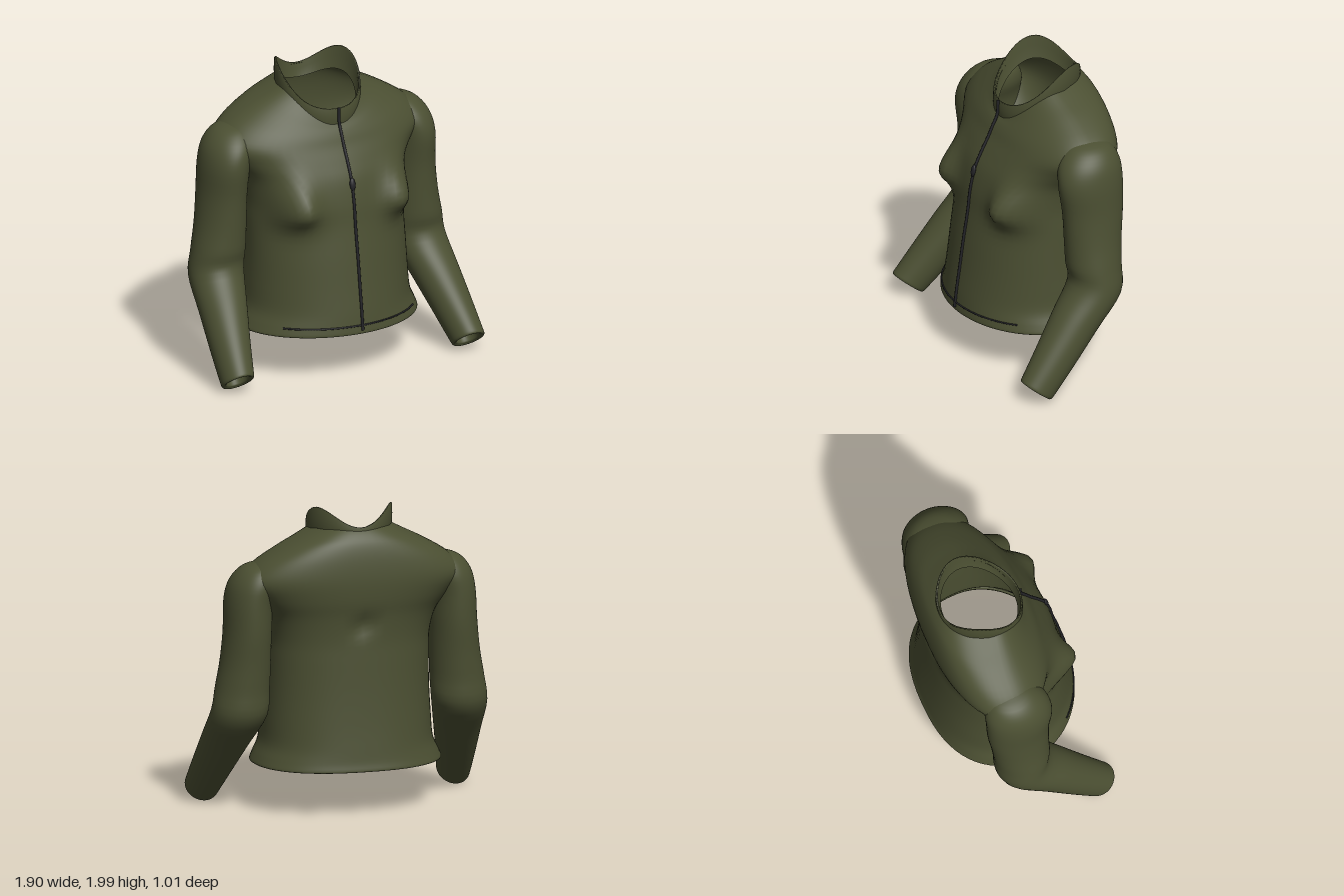
import * as THREE from 'three';

const SEG = 64;

// Smoothly resample rows of section parameters (Catmull-Rom per column)
function resample(rows, n) {
  const out = [], last = rows.length - 1;
  for (let i = 0; i < last; i++) {
    const [a, b, c, d] = [i - 1, i, i + 1, i + 2].map((k) => rows[Math.min(last, Math.max(0, k))]);
    for (let k = 0; k < n; k++) {
      const t = k / n;
      out.push(b.map((v, j) => v + 0.5 * t * (c[j] - a[j] +
        t * (2 * a[j] - 5 * v + 4 * c[j] - d[j] + t * (3 * (v - c[j]) + d[j] - a[j])))));
    }
  }
  out.push(rows[last]);
  return out;
}

// Skin closed sections, ordered bottom to top
function loft(rows, point) {
  const pos = [], idx = [];
  rows.forEach((row, i) => {
    for (let j = 0; j < SEG; j++) {
      pos.push(...point(row, (j / SEG) * Math.PI * 2));
      if (i === 0) continue;
      const n = (j + 1) % SEG, a = (i - 1) * SEG + j, b = (i - 1) * SEG + n;
      idx.push(a, a + SEG, b, b, a + SEG, b + SEG);
    }
  });
  const g = new THREE.BufferGeometry();
  g.setAttribute('position', new THREE.Float32BufferAttribute(pos, 3));
  g.setIndex(idx);
  g.computeVertexNormals();
  return g;
}

const spow = (v, e) => Math.sign(v) * Math.abs(v) ** e;
const bell = (d, s) => Math.exp(-((d / s) ** 2));

// Torso sections: side y, front y, back y, half width, front z, back z, middle z
const TORSO = [
  [0.36, 0.36, 0.36, 0.585, 0.475, -0.47, 0],
  [0.31, 0.31, 0.31, 0.600, 0.485, -0.485, 0],
  [0.31, 0.31, 0.31, 0.620, 0.500, -0.50, 0],
  [0.36, 0.36, 0.36, 0.600, 0.495, -0.49, 0],
  [0.45, 0.45, 0.45, 0.562, 0.485, -0.48, 0],
  [0.60, 0.60, 0.60, 0.550, 0.463, -0.465, 0],
  [0.80, 0.80, 0.80, 0.540, 0.435, -0.45, 0],
  [1.00, 1.00, 1.00, 0.535, 0.403, -0.44, -0.02],
  [1.15, 1.15, 1.15, 0.535, 0.385, -0.435, -0.05],
  [1.30, 1.30, 1.30, 0.570, 0.350, -0.445, -0.09],
  [1.42, 1.41, 1.42, 0.660, 0.300, -0.465, -0.11],
  [1.53, 1.50, 1.55, 0.735, 0.252, -0.472, -0.13],
  [1.64, 1.56, 1.68, 0.655, 0.225, -0.460, -0.14],
  [1.74, 1.60, 1.78, 0.500, 0.203, -0.435, -0.14],
  [1.81, 1.63, 1.84, 0.360, 0.180, -0.400, -0.12],
  [1.86, 1.66, 1.88, 0.262, 0.162, -0.362, -0.10],
];

function torsoPoint([ys, yf, yb, w, zf, zb, zc], t) {
  const c = Math.cos(t), s = Math.sin(t), e = s > 0 ? 1 : 0.84;
  const x = w * spow(c, e);
  const y = ys + ((s > 0 ? yf : yb) - ys) * s * s;
  let z = zc + (s > 0 ? zf - zc : zc - zb) * spow(s, e);
  // chest fullness in front, small dent in the back
  if (s > 0) z += 0.15 * Math.min(1, s * 2) * bell(Math.abs(x) - 0.38, 0.13) * bell(y - 1.13, y < 1.13 ? 0.11 : 0.19);
  else z += 0.04 * bell(x, 0.06) * bell(y - 1.25, 0.07);
  return [x, y, z];
}

// Sleeve sections: x, y, z, half width, half depth, tilt
const SLEEVE = [
  [0.825, 0.26, 0.235, 0.085, 0.10, 0.56],
  [0.843, 0.11, 0.355, 0.072, 0.085, 0.66],
  [0.845, 0.085, 0.375, 0.085, 0.10, 0.66],
  [0.845, 0.085, 0.375, 0.105, 0.12, 0.66],
  [0.838, 0.13, 0.335, 0.113, 0.127, 0.62],
  [0.812, 0.28, 0.21, 0.132, 0.140, 0.53],
  [0.775, 0.475, 0.05, 0.157, 0.157, 0.40],
  [0.738, 0.67, -0.11, 0.182, 0.176, 0.27],
  [0.720, 0.83, -0.115, 0.175, 0.184, 0.08],
  [0.702, 1.00, -0.12, 0.162, 0.192, 0],
  [0.690, 1.20, -0.125, 0.152, 0.207, 0],
  [0.680, 1.40, -0.115, 0.152, 0.222, 0],
  [0.643, 1.53, -0.125, 0.157, 0.205, 0],
  [0.610, 1.62, -0.14, 0.115, 0.140, 0],
  [0.580, 1.655, -0.14, 0.040, 0.050, 0],
];

// Collar edge heights around the neck; s is 1 at the front and -1 at the back
const collarTop = (s) => 1.955 - 0.197 * s - 0.1425 * s * s + 0.124 * s ** 3;
const collarLow = (s) => 1.825 - 0.146 * s - 0.11 * s * s + 0.061 * s ** 3;

export function createModel() {
  const group = new THREE.Group();
  const olive = new THREE.MeshStandardMaterial({ color: 0x4b4f32, side: THREE.DoubleSide });
  olive.name = 'olive cloth';
  const dark = new THREE.MeshStandardMaterial({ color: 0x222226 });
  dark.name = 'dark zipper';

  const add = (name, geometry, material) => {
    const mesh = new THREE.Mesh(geometry, material);
    mesh.name = name;
    group.add(mesh);
    return mesh;
  };

  add('torso', loft(resample(TORSO, 4), torsoPoint), olive);

  // Sleeves
  for (const side of [1, -1]) {
    const g = loft(resample(SLEEVE, 4), ([x, y, z, a, b, tilt], t) => [
      side * x + a * Math.cos(t),
      y + b * Math.sin(t) * Math.sin(tilt),
      z + b * Math.sin(t) * Math.cos(tilt),
    ]);
    add(side > 0 ? 'leftSleeve' : 'rightSleeve', g, olive);
  }

  // Collar: rows of [radius, height fraction], outside up, over the rim, inside down
  const collarRows = [[0.27, 0], [0.277, 0.04], [0.279, 0.5], [0.276, 0.97], [0.27, 1], [0.263, 0.97], [0.262, 0.5], [0.245, -0.1]];
  add('collar', loft(collarRows, ([r, f], t) => {
    const s = Math.sin(t);
    return [r * Math.cos(t), THREE.MathUtils.lerp(collarLow(s), collarTop(s), f), -0.1 + r * 1.01 * s];
  }), olive);

  // Zipper down the centre front
  const line = TORSO.slice(2, 13).map((r) => new THREE.Vector3(0, r[1], r[4] + 0.004));
  line[0].y = 0.33;
  line.push(new THREE.Vector3(0, 1.65, 0.19), new THREE.Vector3(0, 1.75, 0.186));
  add('zipper', new THREE.TubeGeometry(new THREE.CatmullRomCurve3(line), 60, 0.01, 8), dark);

  const pull = add('zipperPull', new THREE.SphereGeometry(1, 16, 12), dark);
  pull.scale.set(0.02, 0.042, 0.014);
  pull.position.set(0, 1.28, 0.366);
  pull.rotation.x = -0.2;

  // Drawn seam along the front hem
  const seam = [];
  for (let i = 0; i <= 24; i++) {
    const x = -0.475 + (0.95 * i) / 24;
    seam.push(new THREE.Vector3(x, 0.362, 0.497 * Math.sqrt(1 - (x / 0.602) ** 2)));
  }
  add('hemSeam', new THREE.TubeGeometry(new THREE.CatmullRomCurve3(seam), 60, 0.006, 6), dark);

  return group;
}
